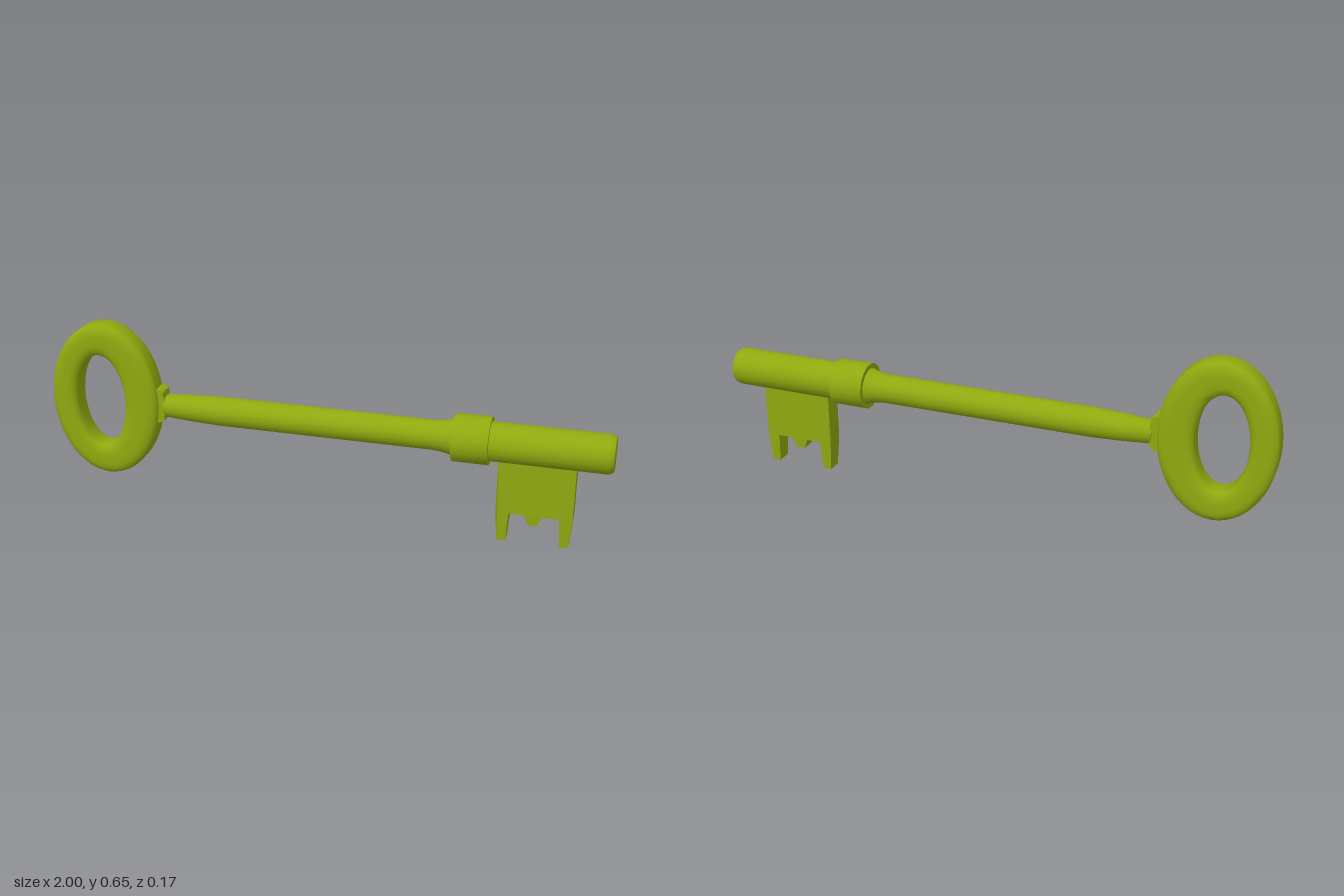
import * as THREE from 'three';
import { toCreasedNormals } from 'three/addons/utils/BufferGeometryUtils.js';

const material = new THREE.MeshStandardMaterial({ color: 0x8fa90f });
const AXIS_Y = 0.354;

function part(name, geometry, crease = 0.6) {
  const mesh = new THREE.Mesh(toCreasedNormals(geometry, crease), material);
  mesh.name = name;
  return mesh;
}

// Turned part along x; profile is [x, radius] from left to right
function turned(name, profile, sides = 24) {
  const geometry = new THREE.LatheGeometry(profile.map(([x, r]) => new THREE.Vector2(r, x)), sides);
  geometry.rotateZ(-Math.PI / 2).translate(0, AXIS_Y, 0);
  return part(name, geometry);
}

// Flat outline extruded along z, centred on z = 0
function plate(points, depth) {
  const shape = new THREE.Shape(points.map(([x, y]) => new THREE.Vector2(x, y)));
  return new THREE.ExtrudeGeometry(shape, { depth, bevelEnabled: false }).translate(0, 0, -depth / 2);
}

// Oval ring: rounded-rectangle section swept between an inner and an outer ellipse
function ovalRing() {
  const section = [];
  const half = 0.049, rt = 0.36, rz = 0.023;
  for (const [ct, cz, start] of [[1 - rt, half - rz, 0], [rt, half - rz, 1], [rt, rz - half, 2], [1 - rt, rz - half, 3]]) {
    for (let i = 0; i <= 4; i++) {
      const a = (start + i / 4) * Math.PI / 2;
      section.push([ct + rt * Math.cos(a), cz + rz * Math.sin(a)]);
    }
  }
  const steps = 48, n = section.length, positions = [], index = [];
  for (let i = 0; i < steps; i++) {
    const a = i / steps * Math.PI * 2;
    for (const [t, z] of section) {
      const mix = (inner, outer) => inner + (outer - inner) * t;
      positions.push(
        mix(-0.813, -0.798) + mix(0.091, 0.202) * Math.cos(a),
        mix(0.36, 0.363) + mix(0.172, 0.285) * Math.sin(a),
        z + 0.004);
    }
    for (let j = 0; j < n; j++) {
      const p = i * n + j, q = i * n + (j + 1) % n;
      const r = ((i + 1) % steps) * n + j, s = ((i + 1) % steps) * n + (j + 1) % n;
      index.push(p, r, q, q, r, s);
    }
  }
  const geometry = new THREE.BufferGeometry();
  geometry.setAttribute('position', new THREE.Float32BufferAttribute(positions, 3));
  geometry.setIndex(index);
  return geometry;
}

export function createModel() {
  const key = new THREE.Group();
  key.name = 'key';

  key.add(part('bow', ovalRing(), 0.9));

  // Small lug joining the bow to the shank
  key.add(part('lug', plate([
    [-0.63, 0.295], [-0.595, 0.297], [-0.578, 0.305], [-0.573, 0.33],
    [-0.565, 0.34], [-0.565, 0.37], [-0.573, 0.38], [-0.578, 0.412],
    [-0.595, 0.423], [-0.63, 0.423],
  ], 0.06)));

  // Tapered shank flaring into the collar
  key.add(turned('shank', [
    [-0.58, 0], [-0.58, 0.034], [-0.57, 0.041], [-0.47, 0.048], [-0.37, 0.052],
    [0.39, 0.052], [0.42, 0.054], [0.445, 0.059], [0.465, 0.066], [0.48, 0],
  ]));

  key.add(turned('collar', [
    [0.463, 0], [0.463, 0.083], [0.587, 0.083], [0.587, 0],
  ], 20));

  // Barrel with a rounded end
  key.add(turned('barrel', [
    [0.57, 0], [0.57, 0.068], [0.975, 0.068], [0.988, 0.066],
    [0.997, 0.061], [1, 0.053], [1, 0],
  ]));

  // Toothed bit, thinning towards the tips
  const bit = plate([
    [0.62, 0.34], [0.62, 0.11], [0.628, 0], [0.658, 0], [0.665, 0.108],
    [0.718, 0.108], [0.732, 0.072], [0.764, 0.072], [0.778, 0.108],
    [0.835, 0.108], [0.842, 0], [0.872, 0], [0.88, 0.11], [0.88, 0.34],
  ], 0.068);
  const pos = bit.attributes.position;
  for (let i = 0; i < pos.count; i++) {
    const t = Math.min(1, pos.getY(i) / 0.108);
    pos.setZ(i, pos.getZ(i) * (0.79 + 0.21 * t));
  }
  key.add(part('bit', bit, 0.3));

  return key;
}
